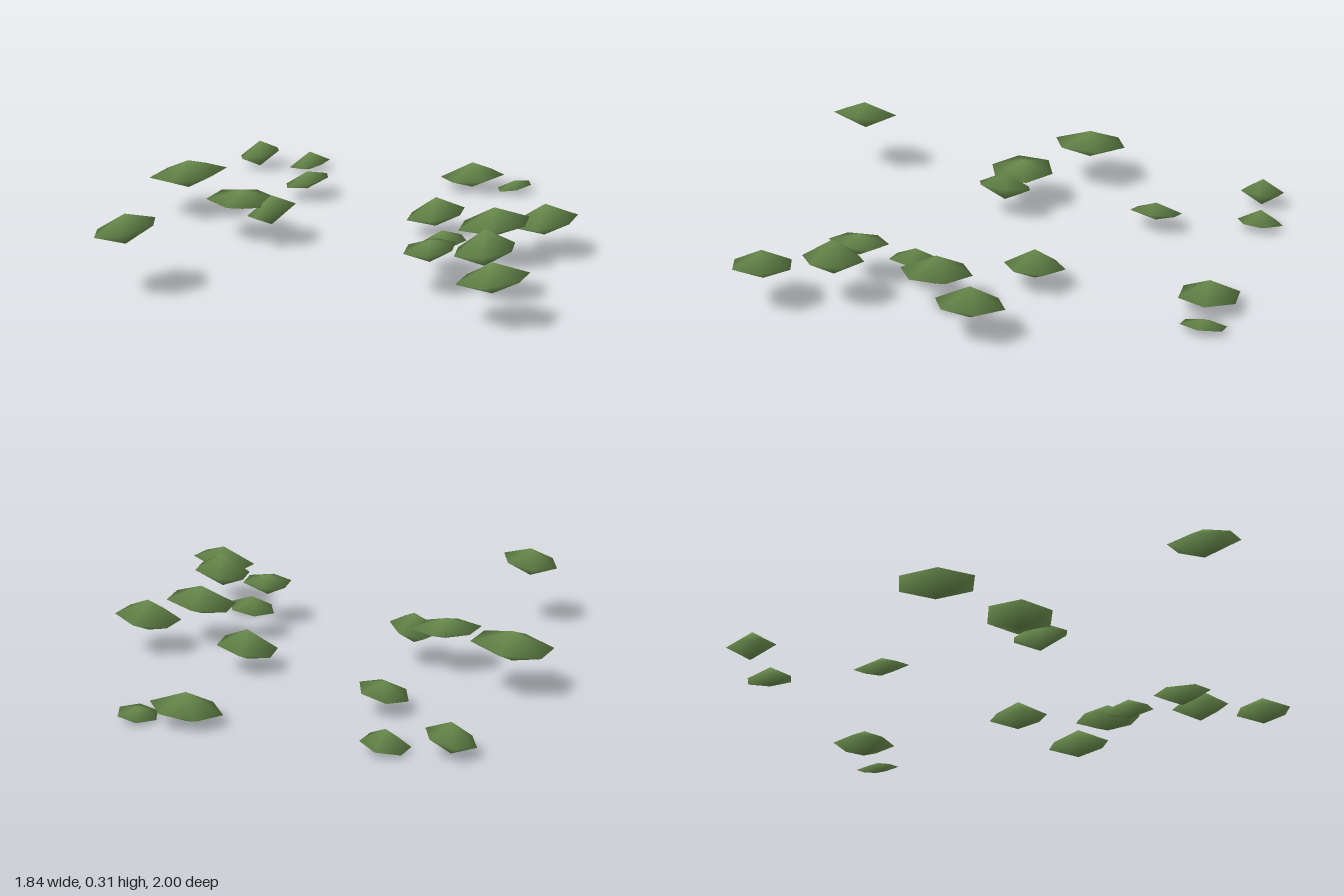
import * as THREE from 'three';

// centre x, centre z, width, depth, ring angle (deg), bottom y, top y, ring y at left end, ring y at right end
const CLUMPS = [
  [-0.78, -0.06, 0.28, 0.31, 30, 0.12, 0.235, 0.165, 0.20],
  [-0.53, 0.88, 0.235, 0.24, 0, 0.20, 0.315, 0.24, 0.285],
  [-0.825, -0.81, 0.19, 0.16, 0, 0.005, 0.12, 0.04, 0.085],
  [-0.605, -0.865, 0.155, 0.19, 30, 0, 0.08, 0.01, 0.04],
  [-0.435, -0.475, 0.195, 0.19, 0, 0.04, 0.115, 0.05, 0.10],
  [-0.445, 0.115, 0.25, 0.27, 30, 0.12, 0.20, 0.165, 0.16],
  [-0.305, 0.135, 0.175, 0.235, 40, 0.08, 0.20, 0.115, 0.165],
  [0.16, -0.885, 0.275, 0.23, -10, 0.005, 0.115, 0.04, 0.07],
  [0.34, -0.92, 0.15, 0.16, 0, 0, 0.045, 0.005, 0.035],
  [0.25, -0.22, 0.235, 0.235, 19, 0.04, 0.16, 0.07, 0.11],
  [0.725, -0.16, 0.235, 0.27, 27, 0.085, 0.21, 0.12, 0.16],
  [0.587, 0.035, 0.275, 0.27, 20, 0.12, 0.235, 0.15, 0.19],
  [0.435, 0.19, 0.19, 0.195, -5, 0.085, 0.17, 0.105, 0.14],
  [0.473, 0.41, 0.195, 0.23, 15, 0.12, 0.205, 0.165, 0.185],
  [0.685, 0.41, 0.23, 0.23, 17, 0.135, 0.275, 0.18, 0.215],
  [0.80, 0.645, 0.235, 0.235, 30, 0.125, 0.24, 0.16, 0.20],
];

// Flattened, tilted six-sided clump with a point above and below
function clumpGeometry([cx, cz, w, d, angle, bottom, top, left, right]) {
  const ring = [];
  for (let i = 0; i < 6; i++) {
    const a = THREE.MathUtils.degToRad(angle + i * 60);
    ring.push([Math.cos(a), Math.sin(a)]);
  }
  const maxX = Math.max(...ring.map((p) => p[0]));
  const maxZ = Math.max(...ring.map((p) => p[1]));
  const positions = [cx, top, cz, cx, bottom, cz];
  for (const [px, pz] of ring) {
    const u = px / maxX;
    const v = pz / maxZ;
    positions.push(cx + u * w / 2, THREE.MathUtils.lerp(left, right, (u + 1) / 2), cz + v * d / 2);
  }
  const index = [];
  for (let i = 0; i < 6; i++) {
    const a = 2 + i;
    const b = 2 + (i + 1) % 6;
    index.push(0, b, a, 1, a, b);
  }
  const geometry = new THREE.BufferGeometry();
  geometry.setAttribute('position', new THREE.Float32BufferAttribute(positions, 3));
  geometry.setIndex(index);
  geometry.computeVertexNormals();
  return geometry;
}

export function createModel() {
  const group = new THREE.Group();
  group.name = 'foliageClumps';
  const foliage = new THREE.MeshStandardMaterial({ color: 0x6b8e4e });
  foliage.name = 'foliageGreen';
  CLUMPS.forEach((clump, i) => {
    const mesh = new THREE.Mesh(clumpGeometry(clump), foliage);
    mesh.name = `foliageClump${i + 1}`;
    group.add(mesh);
  });
  return group;
}
